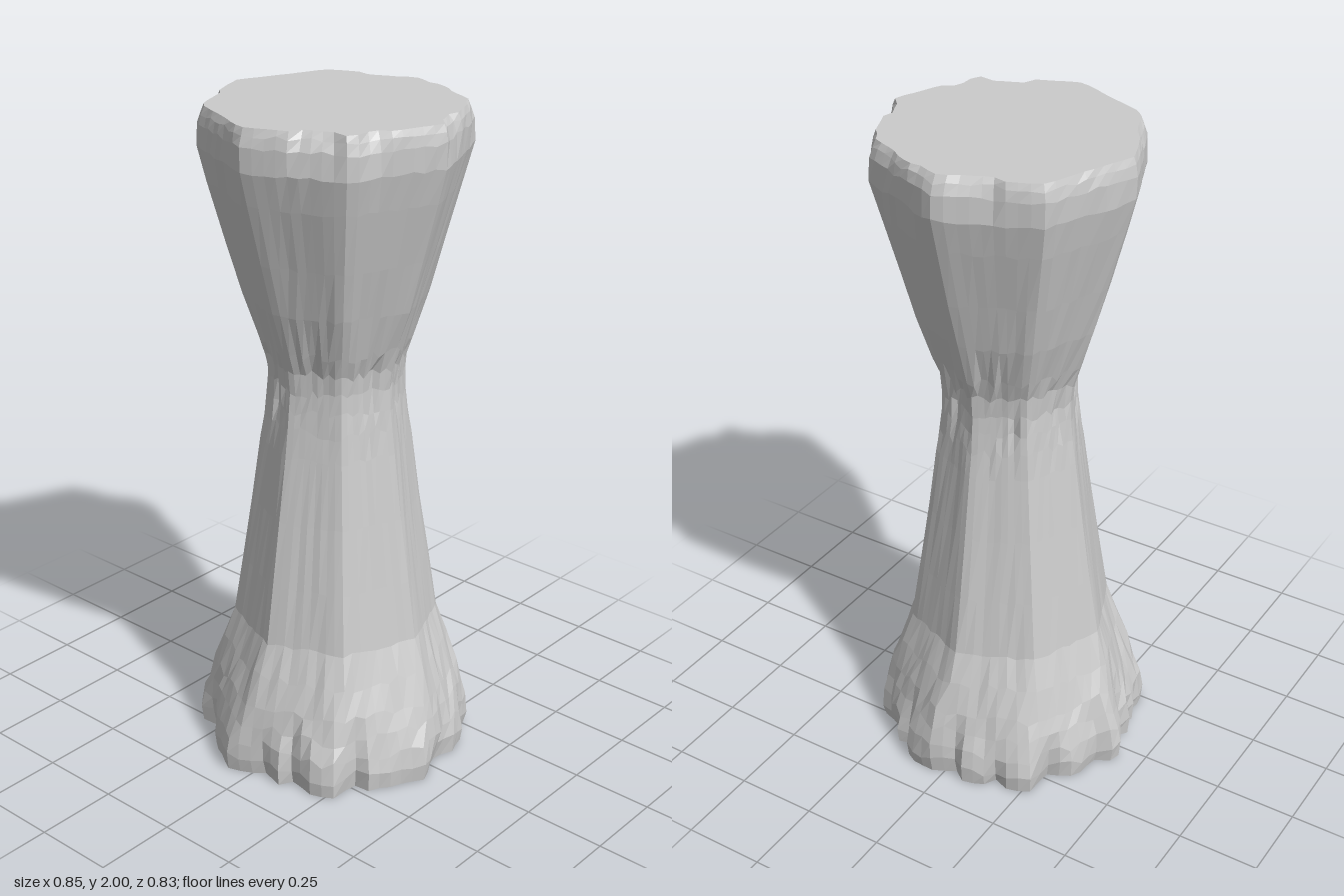
import * as THREE from 'three';

const SIDES = 8, PER_SIDE = 9, N = SIDES * PER_SIDE;
const STEP = Math.PI * 2 / N;

// Height and corner radius of the hourglass outline
const PROFILE = [
  [0, 0.432], [0.05, 0.437], [0.11, 0.425], [0.17, 0.403], [0.23, 0.382], [0.32, 0.35],
  [0.42, 0.314], [0.6, 0.285], [0.8, 0.254], [1.0, 0.225], [1.08, 0.214], [1.14, 0.207],
  [1.2, 0.204], [1.26, 0.209], [1.32, 0.23], [1.45, 0.272], [1.6, 0.315], [1.78, 0.365],
  [1.88, 0.39], [1.95, 0.393], [1.98, 0.388], [2, 0.38],
];

function seeded(seed) {
  return () => {
    seed = (seed * 16807) % 2147483647;
    return seed / 2147483647;
  };
}

// Radius of a unit octagon at an angle, corners on the axes and softly worn
function octagon(a) {
  const side = Math.PI * 2 / SIDES;
  const t = ((a % side) + side) % side - side / 2;
  return Math.min(Math.cos(side / 2) / Math.cos(t), 0.992);
}

const fade = (y, from, to) => THREE.MathUtils.clamp((to - y) / (to - from), 0, 1);

function carvedPillar() {
  const rnd = seeded(4711);
  // One set of wear values per column: cracks at the foot, nicks at the waist, chips on the rim
  const columns = Array.from({ length: N }, (_, i) => {
    const notch = i % PER_SIDE === 0 || i % PER_SIDE === 1;
    return {
      crack: notch ? 0.025 + 0.02 * rnd() : rnd() < 0.32 ? 0.015 + 0.025 * rnd() : 0.006 * rnd(),
      crackTop: 0.12 + 0.15 * rnd(),
      nick: rnd() < 0.22 ? 0.012 * rnd() + 0.004 : 0,
      nickY: 1.13 + 0.12 * rnd(),
      chip: 0,
    };
  });
  // Chips span a few columns each
  for (let i = 0; i < N;) {
    const run = 2 + Math.floor(rnd() * 5), depth = rnd() < 0.45 ? 0.01 + 0.03 * rnd() : 0.006 * rnd();
    for (let k = 0; k < run && i < N; k++, i++) columns[i].chip = depth;
  }

  const pos = [], index = [];
  PROFILE.forEach(([y, radius], j) => {
    const end = j === 0 || j === PROFILE.length - 1;
    columns.forEach((c, i) => {
      const a = i * STEP;
      // The foot is turned slightly against the shaft
      const twist = -0.13 * fade(y, 0.1, 0.4);
      let r = radius * octagon(a - twist);
      r -= c.crack * fade(y, 0.02, c.crackTop);
      r -= c.nick * Math.max(0, 1 - Math.abs(y - c.nickY) / 0.09);
      r -= c.chip * THREE.MathUtils.clamp((y - 1.92) / 0.08, 0, 1);
      r += (rnd() - 0.5) * 0.003;
      const wobble = y < 0.42 || (y > 1.05 && y < 1.35) ? 0.03 : 0.012;
      const py = end ? y : y + (rnd() - 0.5) * wobble;
      pos.push(r * Math.sin(a), py, r * Math.cos(a));
    });
  });

  // Side faces
  for (let j = 0; j < PROFILE.length - 1; j++) {
    for (let i = 0; i < N; i++) {
      const a = j * N + i, b = j * N + (i + 1) % N;
      index.push(a, b, b + N, a, b + N, a + N);
    }
  }
  // Flat foot and flat top
  const last = (PROFILE.length - 1) * N, foot = pos.length / 3, top = foot + 1;
  pos.push(0, 0, 0, 0, 2, 0);
  for (let i = 0; i < N; i++) {
    const n = (i + 1) % N;
    index.push(foot, n, i, top, last + i, last + n);
  }

  const geo = new THREE.BufferGeometry();
  geo.setAttribute('position', new THREE.Float32BufferAttribute(pos, 3));
  geo.setIndex(index);
  geo.computeVertexNormals();
  return geo;
}

export function createModel() {
  const group = new THREE.Group();
  group.name = 'stonePedestal';
  const stone = new THREE.MeshStandardMaterial({ color: 0xcccccc, flatShading: true });
  const pillar = new THREE.Mesh(carvedPillar(), stone);
  pillar.name = 'carvedPillar';
  group.add(pillar);
  return group;
}
